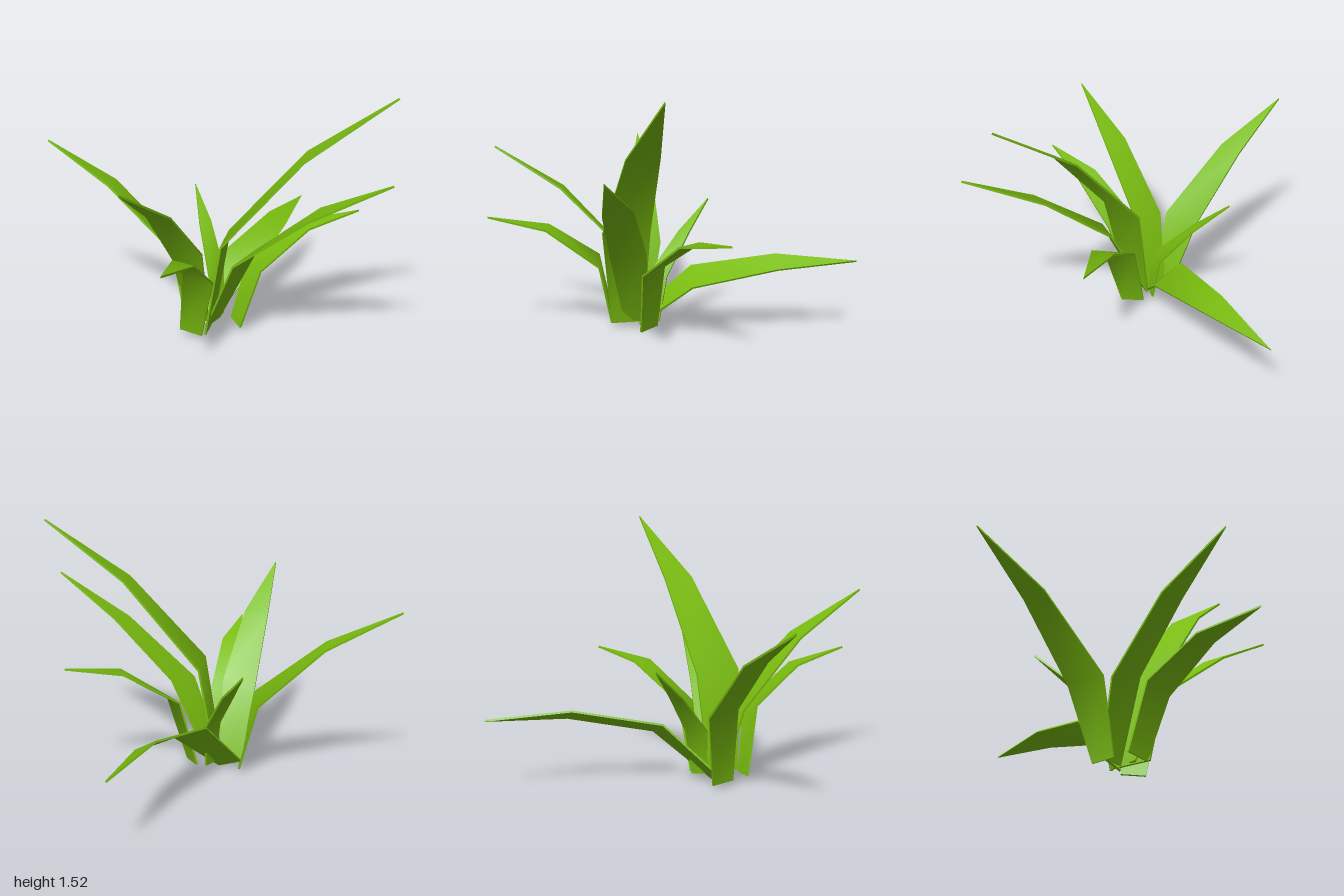
import * as THREE from 'three';

const THICKNESS = 0.012;
const V = (p) => new THREE.Vector3(...p);

// Surface between two edge lines, smooth along its length
function addStrip(out, a, b, pointed = false) {
  const geo = new THREE.BufferGeometry();
  const pos = [], index = [];
  a.forEach((p, i) => pos.push(...p.toArray(), ...b[i].toArray()));
  for (let i = 0; i < a.length - 1; i++) {
    const k = i * 2;
    index.push(k, k + 1, k + 3);
    if (!(pointed && i === a.length - 2)) index.push(k, k + 3, k + 2);
  }
  geo.setAttribute('position', new THREE.Float32BufferAttribute(pos, 3));
  geo.setIndex(index);
  geo.computeVertexNormals();
  out.push(geo);
}

// Thin pointed leaf: two edges of three points each, meeting at the tip
function bladeGeometries(edgeA, edgeB, tip) {
  let left = [...edgeA, tip].map(V), right = [...edgeB, tip].map(V);
  const normalAt = (i) => {
    const j = Math.min(i, 2);
    const across = right[j].clone().sub(left[j]);
    const mid = (k) => left[k].clone().add(right[k]).multiplyScalar(0.5);
    const along = mid(Math.min(i + 1, 3)).sub(mid(Math.max(i - 1, 0)));
    return across.cross(along).normalize();
  };
  // keep the inner face of the leaf turned upward
  if (normalAt(2).y < 0) [left, right] = [right, left];
  const shift = (edge, d) => edge.map((p, i) => p.clone().addScaledVector(normalAt(i), d));
  const h = THICKNESS / 2;
  const topL = shift(left, h), topR = shift(right, h);
  const lowL = shift(left, -h), lowR = shift(right, -h);

  const out = [];
  addStrip(out, topL, topR, true);                          // upper face
  addStrip(out, lowR, lowL, true);                          // under face
  addStrip(out, lowL, topL);                                // rims
  addStrip(out, topR, lowR);
  addStrip(out, [lowL[0], topL[0]], [lowR[0], topR[0]]);    // cut base
  return out;
}

export function createModel() {
  const plant = new THREE.Group();
  plant.name = 'leafyPlant';
  const leafGreen = new THREE.MeshStandardMaterial({ color: 0x79bc0f });
  leafGreen.name = 'leafGreen';

  // Each edge runs base, bend, upper bend
  const addBlade = (name, edgeA, edgeB, tip) => {
    const blade = new THREE.Group();
    blade.name = name;
    for (const geo of bladeGeometries(edgeA, edgeB, tip)) {
      const mesh = new THREE.Mesh(geo, leafGreen);
      mesh.name = name + 'Surface';
      blade.add(mesh);
    }
    plant.add(blade);
  };

  addBlade('tallFrontLeaf',
    [[-0.32, 0.04, 0.05], [-0.29, 0.64, 0.18], [0.08, 1.16, 0.47]],
    [[-0.17, 0.04, -0.09], [-0.08, 0.64, -0.03], [0.22, 1.17, 0.33]],
    [0.51, 1.52, 0.75]);
  addBlade('frontLeaf',
    [[-0.27, 0.05, -0.02], [-0.22, 0.51, 0.2], [0.01, 0.86, 0.6]],
    [[-0.12, 0.05, -0.09], [0, 0.55, 0.14], [0.17, 0.89, 0.52]],
    [0.29, 1.12, 0.97]);
  addBlade('frontLeftLeaf',
    [[-0.08, 0.03, 0.08], [0, 0.42, 0.18], [0.3, 0.65, 0.26]],
    [[-0.05, 0.04, -0.06], [0.04, 0.45, 0], [0.36, 0.66, 0.13]],
    [0.66, 0.71, 0.3]);
  addBlade('lowLeftLeaf',
    [[-0.2, 0.01, -0.09], [0.17, 0.3, -0.12], [0.62, 0.42, -0.38]],
    [[-0.28, 0.06, -0.21], [0.06, 0.39, -0.29], [0.55, 0.49, -0.48]],
    [1, 0.46, -0.69]);
  addBlade('smallBackLeaf',
    [[-0.16, 0.05, -0.1], [-0.17, 0.32, -0.13], [-0.08, 0.58, -0.37]],
    [[-0.07, 0.05, -0.12], [-0.04, 0.33, -0.16], [0, 0.58, -0.36]],
    [0.02, 0.77, -0.57]);
  addBlade('backRightLeaf',
    [[-0.33, 0.04, -0.15], [-0.37, 0.5, -0.22], [-0.6, 0.87, -0.59]],
    [[-0.23, 0.03, -0.25], [-0.24, 0.48, -0.4], [-0.49, 0.86, -0.69]],
    [-0.8, 1.1, -0.98]);
  addBlade('tallRightLeaf',
    [[-0.28, 0.05, -0.21], [-0.4, 0.48, -0.18], [-0.69, 0.88, 0.04]],
    [[-0.2, 0.04, -0.09], [-0.3, 0.54, 0], [-0.61, 0.89, 0.17]],
    [-1, 1.14, 0.32]);
  addBlade('lowRightLeaf',
    [[-0.41, 0.05, -0.09], [-0.44, 0.46, 0.01], [-0.65, 0.67, 0.24]],
    [[-0.33, 0.03, 0.03], [-0.33, 0.42, 0.16], [-0.58, 0.66, 0.36]],
    [-0.89, 0.74, 0.53]);

  return plant;
}
